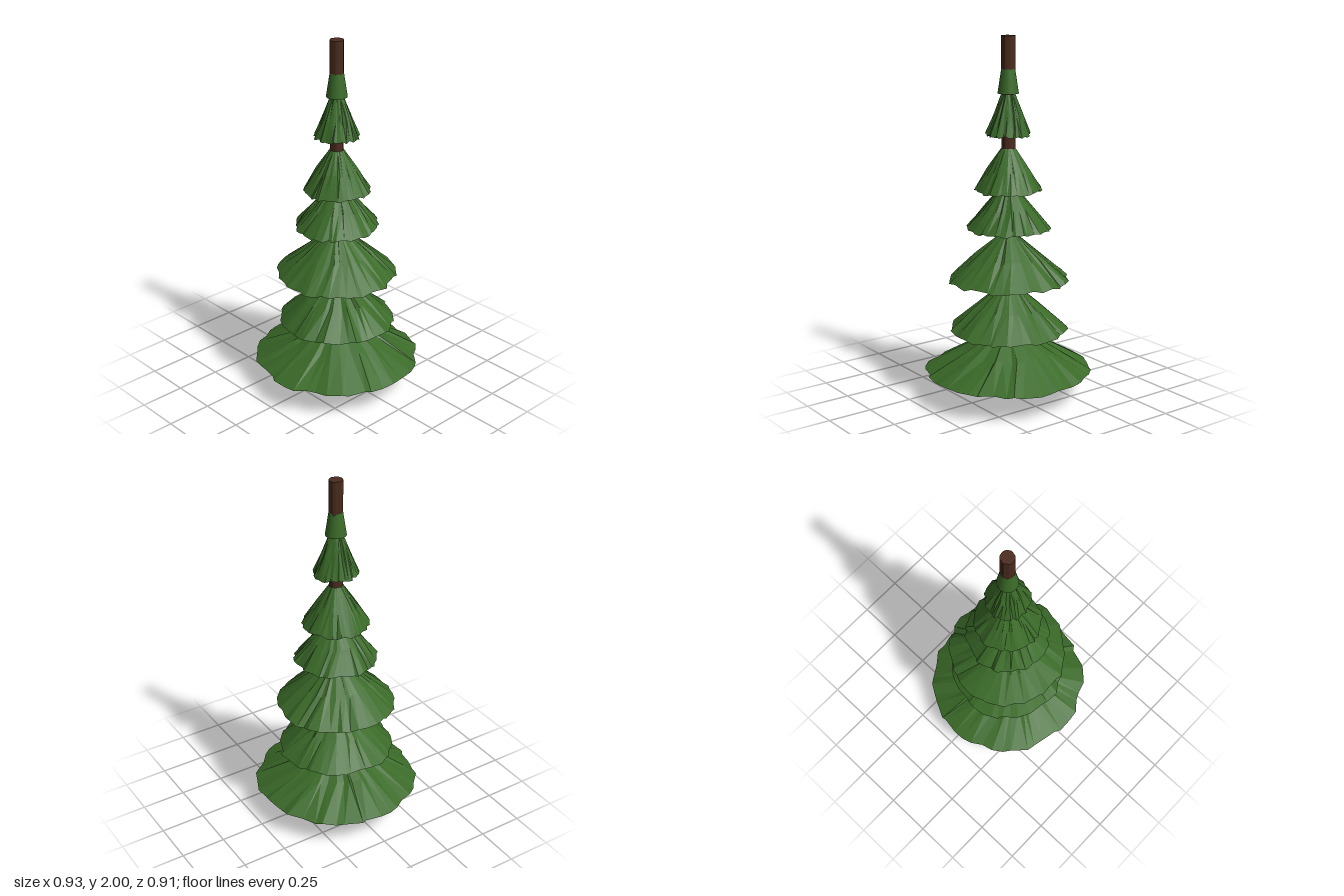
import * as THREE from 'three';

// Repeatable noise in -1..1
function noise(a, b) {
  const s = Math.sin(a * 127.1 + b * 311.7) * 43758.5453;
  return (s - Math.floor(s)) * 2 - 1;
}

// Flared frustum whose vertices are shifted ring by ring to make ragged pleats
function pleated(rTop, rBottom, y0, y1, sides, rings, seed, rough) {
  const h = y1 - y0;
  const geo = new THREE.CylinderGeometry(rTop, rBottom, h, sides, rings);
  const pos = geo.attributes.position;
  for (let i = 0; i < pos.count; i++) {
    const x = pos.getX(i), y = pos.getY(i), z = pos.getZ(i);
    const r = Math.hypot(x, z);
    if (r > 1e-5) {
      const step = (Math.PI * 2) / sides;
      const k = (Math.round(Math.atan2(x, z) / step) + sides) % sides;
      const ring = Math.round((0.5 - y / h) * rings);
      const key = k + ring * 57;
      const a = step * (k + rough.turn * noise(key, seed));
      const rr = r * (1 + rough.radius * noise(key, seed + 20));
      const drop = ring === 0 ? 0 : rough.height * noise(key, seed + 40);
      pos.setXYZ(i, Math.sin(a) * rr, y + drop, Math.cos(a) * rr);
    }
  }
  geo.translate(0, y0 + h / 2, 0);
  geo.computeVertexNormals();
  return geo;
}

export function createModel() {
  const tree = new THREE.Group();
  tree.name = 'pineTree';
  const bark = new THREE.MeshStandardMaterial({ color: 0x4a2a1e, flatShading: true });
  const needles = new THREE.MeshStandardMaterial({ color: 0x3a6a28, flatShading: true, side: THREE.DoubleSide });

  // Trunk, slightly irregular in section, flat on top
  const trunk = new THREE.Mesh(new THREE.CylinderGeometry(0.037, 0.037, 2, 20), bark);
  const tp = trunk.geometry.attributes.position;
  for (let i = 0; i < tp.count; i++) {
    const x = tp.getX(i), z = tp.getZ(i);
    const k = (Math.round((Math.atan2(x, z) * 10) / Math.PI) + 20) % 20;
    const f = 1 + 0.06 * noise(k, 3);
    tp.setX(i, x * f);
    tp.setZ(i, z * f);
  }
  trunk.geometry.translate(0, 1, 0);
  trunk.geometry.computeVertexNormals();
  trunk.name = 'trunk';
  tree.add(trunk);

  // Branch tiers: bottom y, top y, rim radius
  const tiers = [
    [0.148, 0.39, 0.455],
    [0.388, 0.64, 0.322],
    [0.675, 0.93, 0.33],
    [0.96, 1.19, 0.228],
    [1.172, 1.4, 0.182],
    [1.475, 1.69, 0.12],
  ];
  tiers.forEach(([y0, y1, r], i) => {
    const rough = { turn: 0.38, radius: 0.025 + 0.004 / r, height: 0.008 };
    const geo = pleated(0.038, r, y0, y1, 44, 2, i + 1, rough);
    const tier = new THREE.Mesh(geo, needles);
    tier.name = 'branchTier' + (i + 1);
    tree.add(tier);
  });

  // Small smooth-sided collar near the tip
  const collar = new THREE.Mesh(new THREE.CylinderGeometry(0.037, 0.057, 0.13, 32), needles);
  collar.position.y = 1.76;
  collar.name = 'topCollar';
  tree.add(collar);

  return tree;
}
